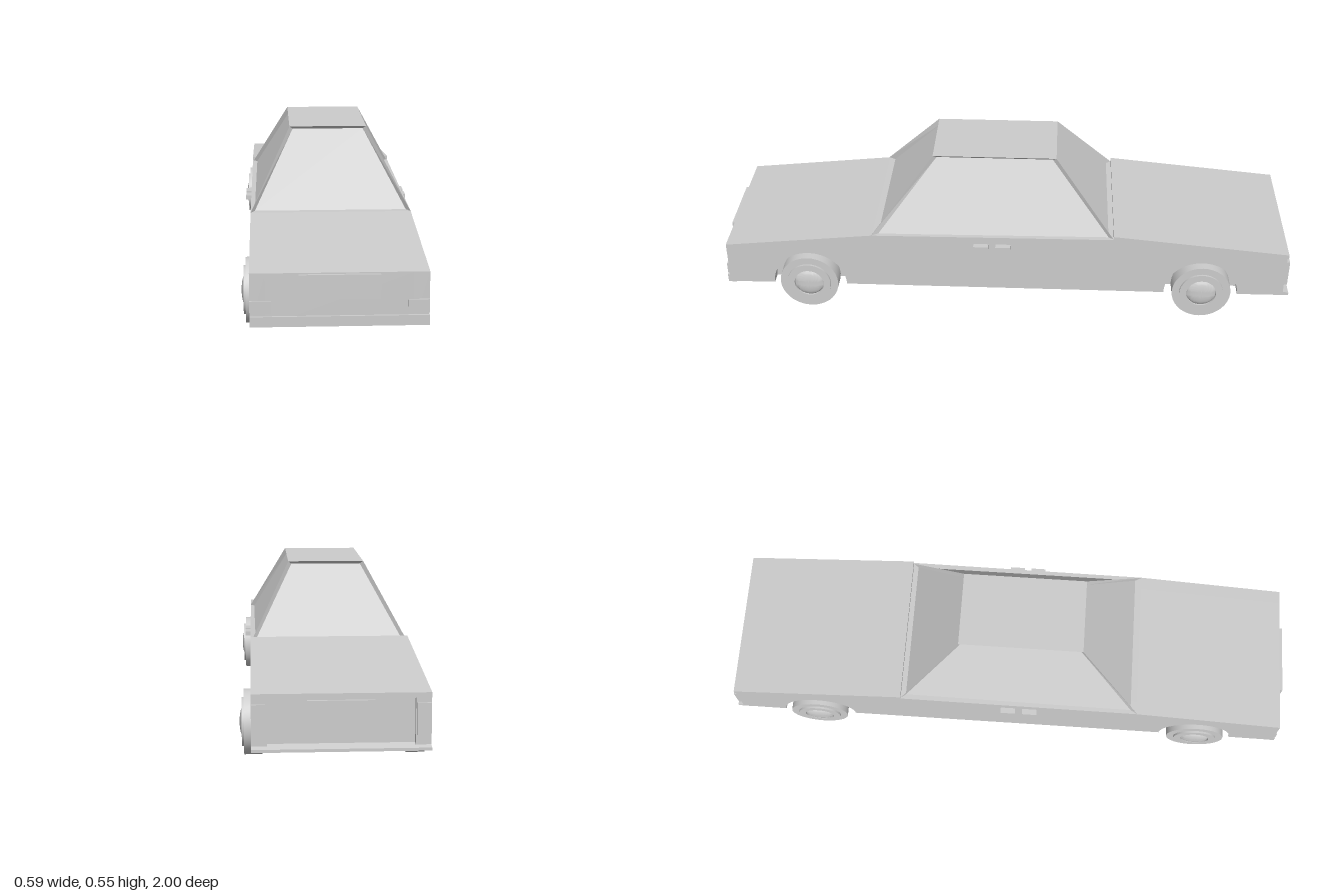
import * as THREE from 'three';
import { toCreasedNormals } from 'three/addons/utils/BufferGeometryUtils.js';

const mat = new THREE.MeshStandardMaterial({ color: 0xcccccc, flatShading: true });
const smoothMat = new THREE.MeshStandardMaterial({ color: 0xcccccc });
const sheetMat = new THREE.MeshStandardMaterial({ color: 0xcccccc, flatShading: true, side: THREE.DoubleSide });

const BODY_X = -0.004;   // body sits a hair off the wheel centre line
const HALF = 0.264;      // half width of the body
const WELL = 0.218;      // inner wall of the wheel wells
const AXLES = [0.7, -0.69];

function add(parent, name, geometry, material = mat) {
  const mesh = new THREE.Mesh(geometry, material);
  mesh.name = name;
  parent.add(mesh);
  return mesh;
}

// Box given by its limits
function box(x0, x1, y0, y1, z0, z1) {
  return new THREE.BoxGeometry(x1 - x0, y1 - y0, z1 - z0)
    .translate((x0 + x1) / 2, (y0 + y1) / 2, (z0 + z1) / 2);
}

// Box whose bottom and top are rectangles of different size: { x, y, front, back }
function frustum(bottom, top) {
  const g = new THREE.BoxGeometry(1, 1, 1);
  const p = g.attributes.position;
  for (let i = 0; i < p.count; i++) {
    const r = p.getY(i) > 0 ? top : bottom;
    p.setXYZ(i, Math.sign(p.getX(i)) * r.x, r.y, p.getZ(i) > 0 ? r.front : r.back);
  }
  g.computeVertexNormals();
  return g;
}

// Side profile (z, y) extruded across the car from x0 to x1
function across(shape, x0, x1) {
  return new THREE.ExtrudeGeometry(shape, { depth: x1 - x0, bevelEnabled: false, curveSegments: 24 })
    .rotateY(-Math.PI / 2).translate(x1, 0, 0);
}

// Body outline, optionally with the wheel arches cut out of the lower edge
function bodyProfile(tail, arches) {
  const s = new THREE.Shape();
  s.moveTo(tail, 0.085);
  if (arches) {
    for (const z of [...AXLES].reverse()) {
      s.lineTo(z - 0.13, 0.083);
      s.absarc(z, 0.083, 0.13, Math.PI, 0, true);
    }
  }
  s.lineTo(0.99, 0.08);
  s.lineTo(0.99, 0.24);
  s.lineTo(0.47, 0.295);
  s.lineTo(-0.38, 0.302);
  s.lineTo(tail, 0.247);
  s.closePath();
  return s;
}

function makeWheel() {
  const wheel = new THREE.Group();
  const lathe = (pts) => toCreasedNormals(
    new THREE.LatheGeometry(pts.map(([r, y]) => new THREE.Vector2(r, y)), 36).rotateZ(-Math.PI / 2), 0.6);
  add(wheel, 'tyre', lathe([[0, 0.225], [0.103, 0.225], [0.103, 0.282], [0.075, 0.282]]), smoothMat);
  add(wheel, 'rim', lathe([[0.077, 0.27], [0.077, 0.289], [0.052, 0.289], [0.052, 0.281], [0, 0.281]]), smoothMat);
  const dome = [];
  for (let i = 0; i <= 8; i++) {
    const a = (i / 8) * Math.PI / 2;
    dome.push([0.052 * Math.cos(a), 0.281 + 0.015 * Math.sin(a)]);
  }
  add(wheel, 'hubcap', lathe(dome), smoothMat);
  return wheel;
}

export function createModel() {
  const car = new THREE.Group();
  car.name = 'car';
  const body = new THREE.Group();
  body.name = 'body';
  body.position.x = BODY_X;
  car.add(body);

  // Lower body: solid core and two side panels with wheel arches
  add(body, 'bodyCore', across(bodyProfile(-0.965, false), -WELL, WELL));
  add(body, 'leftSidePanel', across(bodyProfile(-0.98, true), WELL, HALF));
  add(body, 'rightSidePanel', across(bodyProfile(-0.98, true), -HALF, -WELL));

  // Boot lid overhanging the recessed tail panel
  const lid = new THREE.Shape();
  lid.moveTo(-0.375, 0.3);
  lid.lineTo(-0.375, 0.315);
  lid.lineTo(-0.985, 0.256);
  lid.lineTo(-0.985, 0.24);
  lid.closePath();
  add(body, 'bootLid', across(lid, -HALF, HALF));

  // Cabin: sunken glass, undercut roof and fin-like corner pillars
  const sill = { x: HALF, y: 0.295, front: 0.472, back: -0.38 };
  const glassSill = { x: 0.25, y: 0.296, front: 0.447, back: -0.362 };
  const glassTop = { x: 0.12, y: 0.535, front: 0.247, back: -0.157 };
  const roofEdge = { x: 0.131, y: 0.545, front: 0.26, back: -0.17 };
  add(body, 'windows', frustum(glassSill, glassTop));
  add(body, 'roof', frustum(glassTop, roofEdge));
  for (const side of [1, -1]) {
    for (const end of ['front', 'back']) {
      const corner = (r) => [side * r.x, r.y, r[end]];
      const fin = new THREE.BufferGeometry();
      fin.setAttribute('position', new THREE.Float32BufferAttribute(
        [sill, glassSill, glassTop, roofEdge].flatMap(corner), 3));
      fin.setIndex([0, 1, 2, 0, 2, 3]);
      fin.computeVertexNormals();
      add(body, end + 'Pillar', fin, sheetMat);
    }
  }

  // Nose: bumper, plate and headlights
  add(body, 'frontBumper', box(-HALF, HALF, 0.079, 0.11, 0.97, 0.998));
  add(body, 'frontPlate', box(-0.12, 0.12, 0.163, 0.236, 0.98, 1));

  // Tail: lipped bumper and plate
  const lip = new THREE.Shape();
  lip.moveTo(-0.95, 0.083);
  lip.lineTo(-0.95, 0.106);
  lip.lineTo(-1, 0.094);
  lip.lineTo(-1, 0.085);
  lip.closePath();
  add(body, 'rearBumper', across(lip, -HALF, HALF));
  add(body, 'rearPlate', box(-0.1, 0.1, 0.175, 0.232, -0.975, -0.95));

  // Lamps and door handles on both sides
  for (const [side, label] of [[1, 'left'], [-1, 'right']]) {
    const pair = (a, b, ...rest) => box(Math.min(side * a, side * b), Math.max(side * a, side * b), ...rest);
    add(body, label + 'Headlight', pair(0.2, HALF, 0.117, 0.157, 0.97, 0.996));
    add(body, label + 'TailLight', pair(0.222, HALF - 0.001, 0.13, 0.225, -0.991, -0.95));
    for (const z of [0.087, 0.01]) {
      add(body, label + 'DoorHandle', pair(0.255, 0.284, 0.256, 0.271, z - 0.026, z + 0.026));
    }
  }

  // Wheels
  for (const z of AXLES) {
    for (const [side, label] of [[1, 'left'], [-1, 'right']]) {
      const wheel = makeWheel();
      wheel.name = label + (z > 0 ? 'FrontWheel' : 'RearWheel');
      wheel.position.set(0, 0.103, z);
      if (side < 0) wheel.rotation.y = Math.PI;
      car.add(wheel);
    }
  }
  return car;
}
